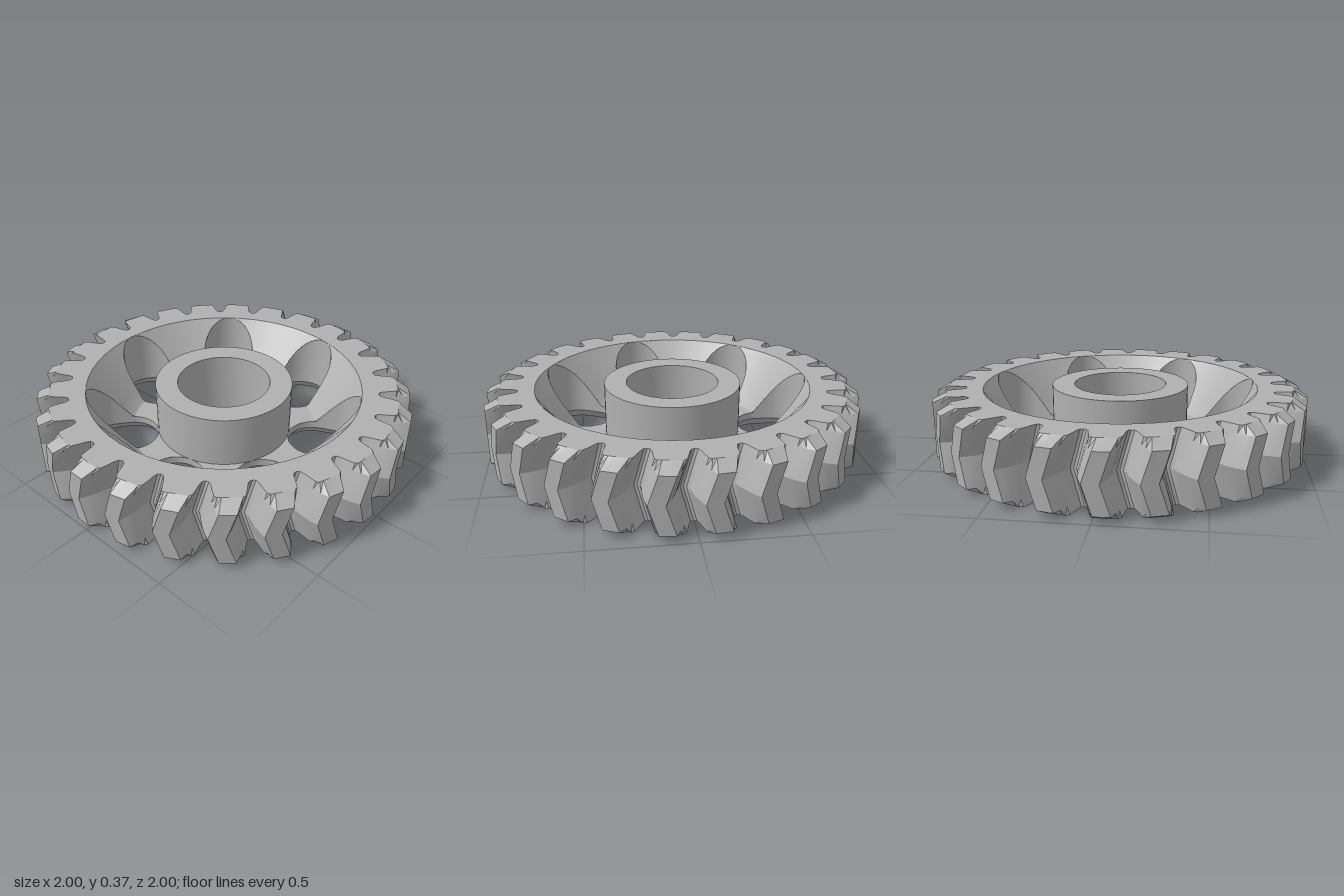
import * as THREE from 'three';
import { toCreasedNormals } from 'three/addons/utils/BufferGeometryUtils.js';

const H = 0.37, TEETH = 25, HOLES = 7;
const BORE = 0.25, HUB = 0.37, RIM = 0.74, FLOOR_R = 0.52, FLOOR_Y = 0.09, FLARE_Y = 0.05;
const SEG = 56, PITCH = (Math.PI * 2) / HOLES;

// Point at a radius and a clockwise angle (seen from above) measured from the back
const polar = (r, a, y) => new THREE.Vector3(r * Math.sin(a), y, -r * Math.cos(a));

// Skin between rows of points
function loft(rows, flip = false) {
  const n = rows[0].length, index = [];
  for (let i = 0; i < rows.length - 1; i++) {
    for (let j = 0; j < n - 1; j++) {
      const a = i * n + j, b = a + 1, d = a + n, c = d + 1;
      if (flip) index.push(a, b, d, b, c, d);
      else index.push(a, d, b, b, d, c);
    }
  }
  const g = new THREE.BufferGeometry().setFromPoints(rows.flat());
  g.setIndex(index);
  return toCreasedNormals(g, 0.5);
}

const ring = (r, y) => Array.from({ length: SEG + 1 }, (_, i) => polar(r, (i / SEG) * Math.PI * 2, y));

// Tooth flank: angle from the tooth centre, radius
const flank = [[-0.1257, 0.825], [-0.108, 0.83], [-0.096, 0.85], [-0.088, 0.88],
  [-0.076, 0.92], [-0.06, 0.96], [-0.04, 1]];
const tooth = [...flank, ...flank.slice(1).reverse().map(([a, r]) => [-a, r])];

function gearSection(y, tip, turn) {
  const pts = [];
  for (let k = 0; k < TEETH; k++) {
    for (const [a, r] of tooth) pts.push(polar(Math.min(r, tip), a + turn + (k / TEETH) * Math.PI * 2, y));
  }
  pts.push(pts[0].clone());
  return pts;
}

// Lightening hole outline: rounded slot, grown by an offset
function slotPoint(t, grow = 0) {
  const w = 0.15 + grow, c = Math.cos(t);
  const u = 0.555 - w * c - 0.035 * (Math.abs(c) < 1e-6 ? 0 : Math.sign(c));
  const v = w * Math.sin(t);
  return { r: Math.hypot(u, v), a: Math.atan2(v, u) };
}

// Height of the recessed surface: flat floor, then a cone up to the rim
const recessY = (r) => (r < FLOOR_R ? FLOOR_Y : FLOOR_Y + ((r - FLOOR_R) / (RIM - FLOOR_R)) * (H - FLOOR_Y));

function slotRow(k, grow, yOf) {
  const n = 48;
  return Array.from({ length: n + 1 }, (_, i) => {
    const p = slotPoint((i / n) * Math.PI * 2, grow);
    return polar(p.r, p.a + k * PITCH, yOf(p.r));
  });
}

// Flat face with holes, facing up or down
function face(outline, holes, y, up) {
  const flat = (row) => row.slice(0, -1).map((p) => new THREE.Vector2(p.x, up ? -p.z : p.z));
  const s = new THREE.Shape(flat(outline));
  holes.forEach((h) => s.holes.push(new THREE.Path(flat(h))));
  return new THREE.ShapeGeometry(s).rotateX(up ? -Math.PI / 2 : Math.PI / 2).translate(0, y, 0);
}

export function createModel() {
  const gear = new THREE.Group();
  gear.name = 'herringboneGear';
  const steel = new THREE.MeshStandardMaterial({ color: 0xb0b0b0 });
  steel.name = 'steel grey';
  const add = (name, geometry, parent = gear) => {
    const m = new THREE.Mesh(geometry, steel);
    m.name = name;
    parent.add(m);
  };

  // V-shaped teeth with chamfered ends
  const turnAt = (y) => -0.06 + 0.06 * (1 - Math.abs(y - H / 2) / (H / 2));
  const sections = [[0, 0.93], [0.038, 1], [H / 2, 1], [H - 0.038, 1], [H, 0.93]]
    .map(([y, tip]) => gearSection(y, tip, turnAt(y)));
  add('teeth', loft(sections));

  // Flat faces
  const flares = Array.from({ length: HOLES }, (_, k) => slotRow(k, 0.035, () => 0));
  add('rimTop', face(sections[4], [ring(RIM, H)], H, true));
  add('bottomFace', face(sections[0], [ring(BORE, 0), ...flares], 0, false));

  // Hub
  add('hubTop', face(ring(HUB, H), [ring(BORE, H)], H, true));
  add('hubWall', loft([ring(HUB, FLOOR_Y), ring(HUB, H)]));
  add('bore', loft([ring(BORE, 0), ring(BORE, H)], true));

  // Web between the holes, and the hole walls
  const web = new THREE.Group();
  web.name = 'web';
  gear.add(web);
  const steps = 32, across = SEG / HOLES;
  for (let k = 0; k < HOLES; k++) {
    const rows = [];
    for (let i = 0; i <= steps; i++) {
      const { r, a } = slotPoint((i / steps) * Math.PI);
      rows.push(Array.from({ length: across + 1 }, (_, j) =>
        polar(r, k * PITCH + a + (PITCH - 2 * a) * (j / across), recessY(r))));
    }
    add('spoke', loft(rows, true), web);
    const lip = slotRow(k, 0, () => FLARE_Y);
    add('holeWall', loft([lip, slotRow(k, 0, recessY)]), web);
    add('holeFlare', loft([flares[k], lip]), web);
  }
  return gear;
}
